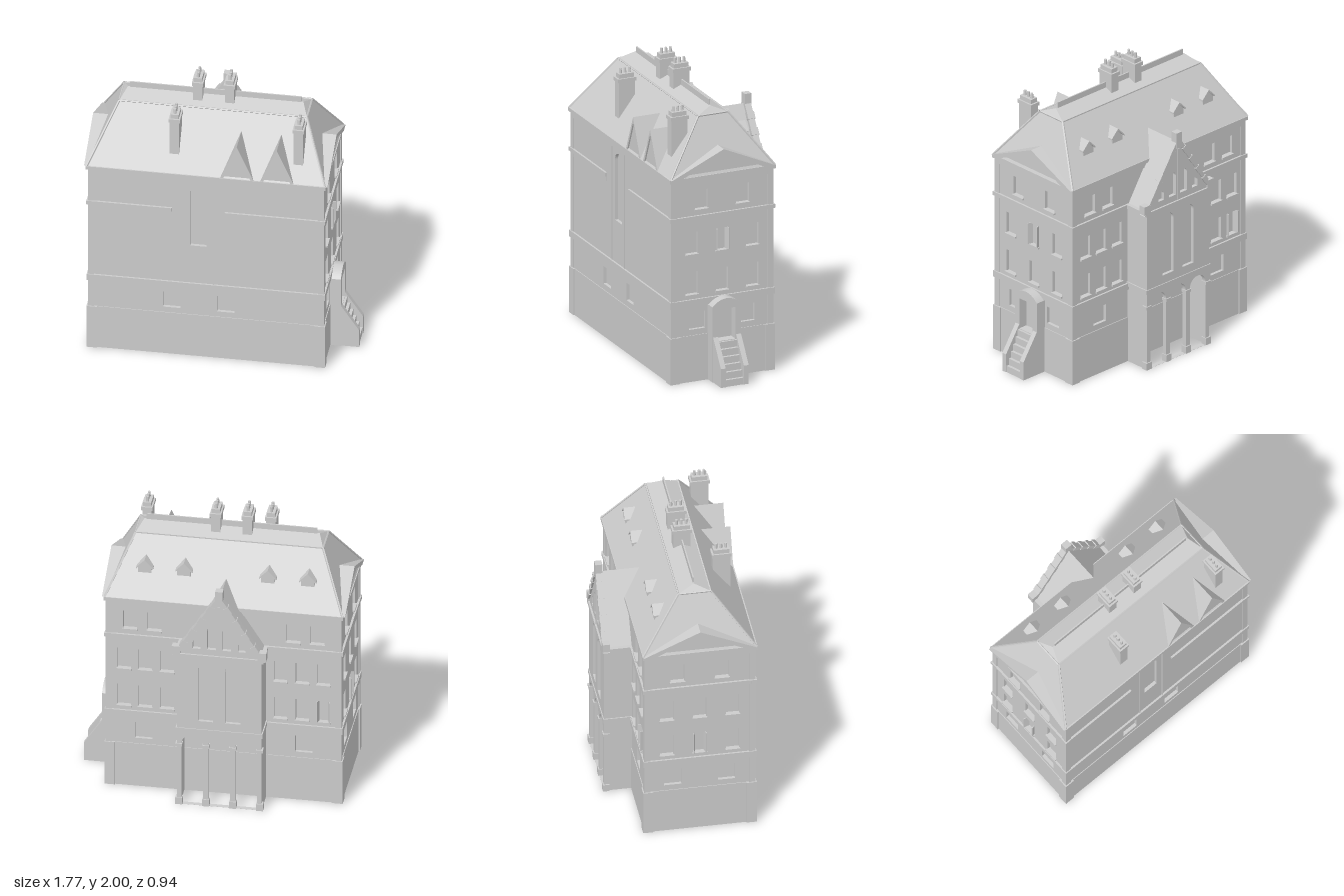
import * as THREE from 'three';

const mat = new THREE.MeshStandardMaterial({ color: 0xcccccc, flatShading: true, side: THREE.DoubleSide });
const CX = -0.085, CZ = 0.0925, HX = 0.775, HZ = 0.3625; // body centre and half sizes

function add(parent, name, geo) {
  const m = new THREE.Mesh(geo, mat);
  m.name = name;
  parent.add(m);
  return m;
}
// Box given by its limits
function box(parent, name, x0, x1, y0, y1, z0, z1) {
  const m = add(parent, name, new THREE.BoxGeometry(x1 - x0, y1 - y0, z1 - z0));
  m.position.set((x0 + x1) / 2, (y0 + y1) / 2, (z0 + z1) / 2);
  return m;
}
const poly = pts => new THREE.Shape(pts.map(p => new THREE.Vector2(...p)));
// Shape in x,y extruded from z0 to z1
function slab(parent, name, shape, z0, z1) {
  const g = new THREE.ExtrudeGeometry(shape, { depth: z1 - z0, bevelEnabled: false, curveSegments: 10 });
  return add(parent, name, g.translate(0, 0, z0));
}
const rect = (x, y0, y1, w) => poly([[x - w / 2, y0], [x + w / 2, y0], [x + w / 2, y1], [x - w / 2, y1]]);
function arch(x, y0, top, w) {
  const s = new THREE.Shape(), r = w / 2;
  s.moveTo(x - r, y0);
  s.lineTo(x + r, y0);
  s.lineTo(x + r, top - r);
  s.absarc(x, top - r, r, 0, Math.PI, false);
  s.closePath();
  return s;
}
function rod(parent, name, a, b, r) {
  const A = new THREE.Vector3(...a), B = new THREE.Vector3(...b);
  return add(parent, name, new THREE.TubeGeometry(new THREE.LineCurve3(A, B), 1, r, 5));
}
// Facade with local z pointing outwards and windows as [u, y0, y1, width, open]
function facade(root, name, angle, half, face, windows, niches = []) {
  const f = new THREE.Group();
  f.name = name;
  f.position.set(CX, 0, CZ);
  f.rotation.y = angle;
  root.add(f);
  const s = poly([[-half, 0], [half, 0], [half, 1.42], [-half, 1.42]]);
  for (const [u, y0, y1, w, open] of windows) {
    s.holes.push(rect(u, y0, y1, w));
    box(f, 'windowPane', u - w / 2, u + w / 2, y0, y1, face - 0.03, face - 0.022);
    if (y0 > 0.5) box(f, 'windowSill', u - w / 2 - 0.005, u + w / 2 + 0.005, y0 - 0.012, y0, face - 0.01, face + 0.014);
    if (open) for (const d of [-1, 1]) {
      const leaf = box(f, 'casementLeaf', u + d * w * 0.42 - 0.003, u + d * w * 0.42 + 0.003, y0, y1, face - 0.02, face + 0.02);
      leaf.rotation.y = d * 0.3;
    }
  }
  for (const [u, y0, top, w] of niches) {
    s.holes.push(arch(u, y0, top, w));
    box(f, 'nichePane', u - w / 2, u + w / 2, y0, top, face - 0.03, face - 0.022);
  }
  slab(f, 'wall', s, face - 0.03, face);
  // Plinth, cornices, corner pilasters and corner plinth blocks
  const band = (n, y0, y1, p) => box(f, n, -half - p, half + p, y0, y1, face - 0.02, face + p);
  band('plinth', 0, 0.32, 0.005);
  band('lowerCornice', 0.525, 0.57, 0.013);
  band('eavesCornice', 1.395, 1.42, 0.018);
  band('frieze', 1.36, 1.395, 0.006);
  for (const d of [-1, 1]) {
    const c = (n, w, y0, y1, p) => box(f, n, Math.min(d * (half + p), d * (half - w)), Math.max(d * (half + p), d * (half - w)), y0, y1, face - 0.02, face + p);
    c('cornerPilaster', 0.035, 0.32, 1.395, 0.006);
    c('cornerPlinth', 0.055, 0, 0.32, 0.014);
  }
  return f;
}
// Flat faced roof from rings of four corners
function hipped(rings) {
  const pos = [];
  for (let i = 0; i + 1 < rings.length; i++) for (let k = 0; k < 4; k++) {
    const a = rings[i][k], b = rings[i][(k + 1) % 4], c = rings[i + 1][(k + 1) % 4], d = rings[i + 1][k];
    pos.push(...a, ...b, ...c, ...a, ...c, ...d);
  }
  const g = new THREE.BufferGeometry();
  g.setAttribute('position', new THREE.Float32BufferAttribute(pos, 3));
  g.computeVertexNormals();
  return g;
}
const ring = (x0, x1, z0, z1, y) => [[x0, y, z1], [x1, y, z1], [x1, y, z0], [x0, y, z0]];

function chimney(root, x, z, base, top) {
  const g = new THREE.Group();
  g.name = 'chimney';
  root.add(g);
  const part = (n, w, d, y0, y1) => box(g, n, x - w / 2, x + w / 2, y0, y1, z - d / 2, z + d / 2);
  part('stack', 0.062, 0.115, base, top - 0.09);
  part('cap', 0.076, 0.13, top - 0.09, top - 0.065);
  part('crown', 0.055, 0.105, top - 0.065, top - 0.035);
  for (const d of [-0.032, 0, 0.032])
    add(g, 'chimneyPot', new THREE.CylinderGeometry(0.009, 0.011, 0.045, 8)).position.set(x, top - 0.0225, z + d);
}

export function createModel() {
  const root = new THREE.Group();
  root.name = 'townHouse';

  // Front: two low windows, a tall blind niche, split string course
  const front = facade(root, 'frontFacade', 0, HX, HZ,
    [[-0.225, 0.36, 0.48, 0.115], [0.13, 0.36, 0.48, 0.115]], [[-0.05, 0.86, 1.33, 0.105]]);
  box(front, 'stringCourse', -HX - 0.015, -0.225, 1.12, 1.147, HZ - 0.02, HZ + 0.014);
  box(front, 'stringCourse', 0.125, HX + 0.015, 1.12, 1.147, HZ - 0.02, HZ + 0.014);
  box(front, 'stringMoulding', -HX, -0.225, 1.09, 1.12, HZ - 0.02, HZ + 0.005);
  box(front, 'stringMoulding', 0.435, HX, 1.09, 1.12, HZ - 0.02, HZ + 0.005);
  for (const u of [-0.145, 0.05]) box(front, 'verticalStrip', u - 0.003, u + 0.003, 0.57, 1.36, HZ - 0.01, HZ + 0.006);

  // End facades, each under a pediment
  for (const d of [1, -1]) {
    const wins = [];
    for (const u of [-0.148, 0.148]) wins.push([u, 1.19, 1.32, 0.092]);
    for (const u of [-0.218, 0, 0.218]) wins.push([u, 0.885, 1.035, 0.088, d > 0 && u === 0], [u, 0.605, 0.76, 0.088, d < 0 && u === 0]);
    for (const u of [-0.178, 0.178]) wins.push([u, 0.36, 0.48, 0.115]);
    const f = facade(root, d > 0 ? 'rightFacade' : 'leftFacade', d * Math.PI / 2, HZ, HX, wins);
    box(f, 'stringCourse', -HZ - 0.015, HZ + 0.015, 1.12, 1.147, HX - 0.02, HX + 0.014);
    slab(f, 'pediment', poly([[-0.37, 1.42], [0.37, 1.42], [0, 1.575]]), 0.66, HX + 0.005);
    slab(f, 'rakingCornice', poly([[-0.375, 1.42], [-0.3, 1.42], [0, 1.56], [0.3, 1.42], [0.375, 1.42], [0, 1.588]]), 0.69, HX + 0.03);
  }

  // Back facade, symmetrical about the gabled wing
  const wins = [];
  for (const d of [-1, 1]) {
    for (const u of [0.46, 0.62]) wins.push([d * u, 1.19, 1.32, 0.092]);
    for (const u of [0.375, 0.52, 0.66]) wins.push([d * u, 0.885, 1.035, 0.088], [d * u, 0.605, 0.76, 0.088, d > 0 && u > 0.6]);
    wins.push([d * 0.53, 0.36, 0.48, 0.115]);
  }
  const back = facade(root, 'backFacade', Math.PI, HX, HZ, wins);
  box(back, 'stringCourse', -HX - 0.015, HX + 0.015, 1.12, 1.147, HZ - 0.02, HZ + 0.014);

  // Gabled wing over an open arcade
  const wing = new THREE.Group();
  wing.name = 'backWing';
  back.add(wing);
  const F = 0.5475;
  const gable = poly([[-0.28, 0], [0.28, 0], [0.28, 1.14], [0, 1.59], [-0.28, 1.14]]);
  for (const u of [-0.178, 0, 0.178]) gable.holes.push(arch(u, 0.001, 0.53, 0.142));
  for (const u of [-0.09, 0.09]) {
    gable.holes.push(arch(u, 0.64, 1.08, 0.1), arch(u * 0.55, 1.19, 1.36, 0.06));
    box(wing, 'nichePane', u - 0.06, u + 0.06, 0.62, 1.1, F - 0.03, F - 0.022);
  }
  for (const u of [-0.15, 0.15]) gable.holes.push(arch(u, 1.19, 1.26, 0.05));
  slab(wing, 'gableWall', gable, F - 0.03, F);
  slab(wing, 'wingRoof', poly([[-0.285, 1.12], [0.285, 1.12], [0, 1.57]]), 0.26, F - 0.025);
  box(wing, 'arcadeCeiling', -0.27, 0.27, 0.56, 0.58, HZ - 0.02, F - 0.02);
  box(wing, 'gableMullion', -0.01, 0.01, 1.15, 1.52, F - 0.01, F + 0.006);
  box(wing, 'wingString', -0.295, 0.295, 1.12, 1.147, HZ, F + 0.012);
  box(wing, 'wingCornice', -0.288, 0.288, 0.55, 0.58, HZ, F + 0.006);
  box(wing, 'finial', -0.025, 0.025, 1.53, 1.64, F - 0.035, F + 0.012);
  for (const u of [-0.267, -0.089, 0.089, 0.267]) {
    box(wing, 'arcadeBase', u - 0.023, u + 0.023, 0, 0.05, F - 0.035, F + 0.008);
    box(wing, 'arcadeCapital', u - 0.023, u + 0.023, 0.44, 0.46, F - 0.035, F + 0.008);
  }
  for (const d of [-1, 1]) {
    box(wing, 'wingSide', d * 0.27 - 0.01, d * 0.27 + 0.01, 0, 1.13, HZ - 0.01, F - 0.01);
    box(wing, 'kneeler', d * 0.285 - 0.028, d * 0.285 + 0.028, 1.14, 1.2, F - 0.035, F + 0.012);
    slab(wing, 'coping', poly([[d * 0.31, 1.13], [0, 1.61], [0, 1.565], [d * 0.28, 1.13]]), F - 0.035, F + 0.01);
    // Stepped blocks along the coping
    for (let i = 1; i < 5; i++) {
      const t = i / 5, b = box(wing, 'copingBlock', -0.025, 0.025, -0.018, 0.018, F - 0.038, F + 0.014);
      b.position.x = d * 0.295 * (1 - t);
      b.position.y = 1.13 + 0.46 * t;
      b.rotation.z = -d * 1.0;
    }
  }

  // Two pitched hipped roof with hip rolls and ridge board
  const eave = ring(-0.872, 0.702, -0.283, 0.465, 1.42), knee = ring(-0.7, 0.54, -0.02, 0.195, 1.775);
  add(root, 'mainRoof', hipped([eave, knee, ring(-0.66, 0.5, 0.0875, 0.0875, 1.82)]));
  for (let k = 0; k < 4; k++) {
    rod(root, 'hipRoll', eave[k], knee[k], 0.008);
    rod(root, 'roofBreakRoll', knee[k], knee[(k + 1) % 4], 0.007);
  }
  box(root, 'ridgeBoard', -0.645, 0.485, 1.8, 1.858, 0.083, 0.092);

  // Front gablets
  for (const x of [0.12, 0.385]) {
    slab(root, 'frontGablet', poly([[x - 0.095, 1.42], [x + 0.095, 1.42], [x, 1.645]]), 0.25, 0.458);
    slab(root, 'gabletRoof', poly([[x - 0.11, 1.42], [x - 0.09, 1.42], [x, 1.635], [x + 0.09, 1.42], [x + 0.11, 1.42], [x, 1.672]]), 0.25, 0.468);
  }
  // Small back dormers
  for (const x of [-0.625, -0.36, 0.195, 0.455]) {
    slab(root, 'backDormer', poly([[x - 0.045, 1.53], [x + 0.045, 1.53], [x + 0.045, 1.6], [x, 1.65], [x - 0.045, 1.6]]), -0.175, -0.08);
    slab(root, 'dormerRoof', poly([[x - 0.056, 1.595], [x, 1.648], [x + 0.056, 1.595], [x + 0.056, 1.605], [x, 1.663], [x - 0.056, 1.605]]), -0.183, -0.08);
  }
  for (const x of [-0.19, 0.02]) chimney(root, x, 0.0875, 1.76, 2);
  for (const x of [-0.305, 0.515]) chimney(root, x, 0.33, 1.5, 1.86);

  // Entrance porch and outside steps on the right end
  const porch = new THREE.Group();
  porch.name = 'entrancePorch';
  porch.position.set(0, 0, CZ);
  porch.rotation.y = Math.PI / 2;
  root.add(porch);
  const portal = new THREE.Shape();
  portal.moveTo(-0.103, 0);
  portal.lineTo(0.103, 0);
  portal.lineTo(0.103, 0.52);
  portal.quadraticCurveTo(0.06, 0.568, 0, 0.57);
  portal.quadraticCurveTo(-0.06, 0.568, -0.103, 0.52);
  portal.holes.push(rect(0, 0.28, 0.5, 0.125));
  slab(porch, 'portal', portal, 0.69, 0.765);
  box(porch, 'door', -0.065, 0.065, 0.28, 0.5, 0.69, 0.7);
  for (const z of [-0.01, 0.155])
    slab(root, 'stairParapet', poly([[0.76, 0], [0.885, 0], [0.885, 0.13], [0.765, 0.31], [0.76, 0.31]]), z, z + 0.035);
  for (let i = 0; i < 6; i++)
    box(root, 'step', 0.76, 0.88 - i * 0.02, i * 0.046, (i + 1) * 0.046, 0.02, 0.16);
  return root;
}
